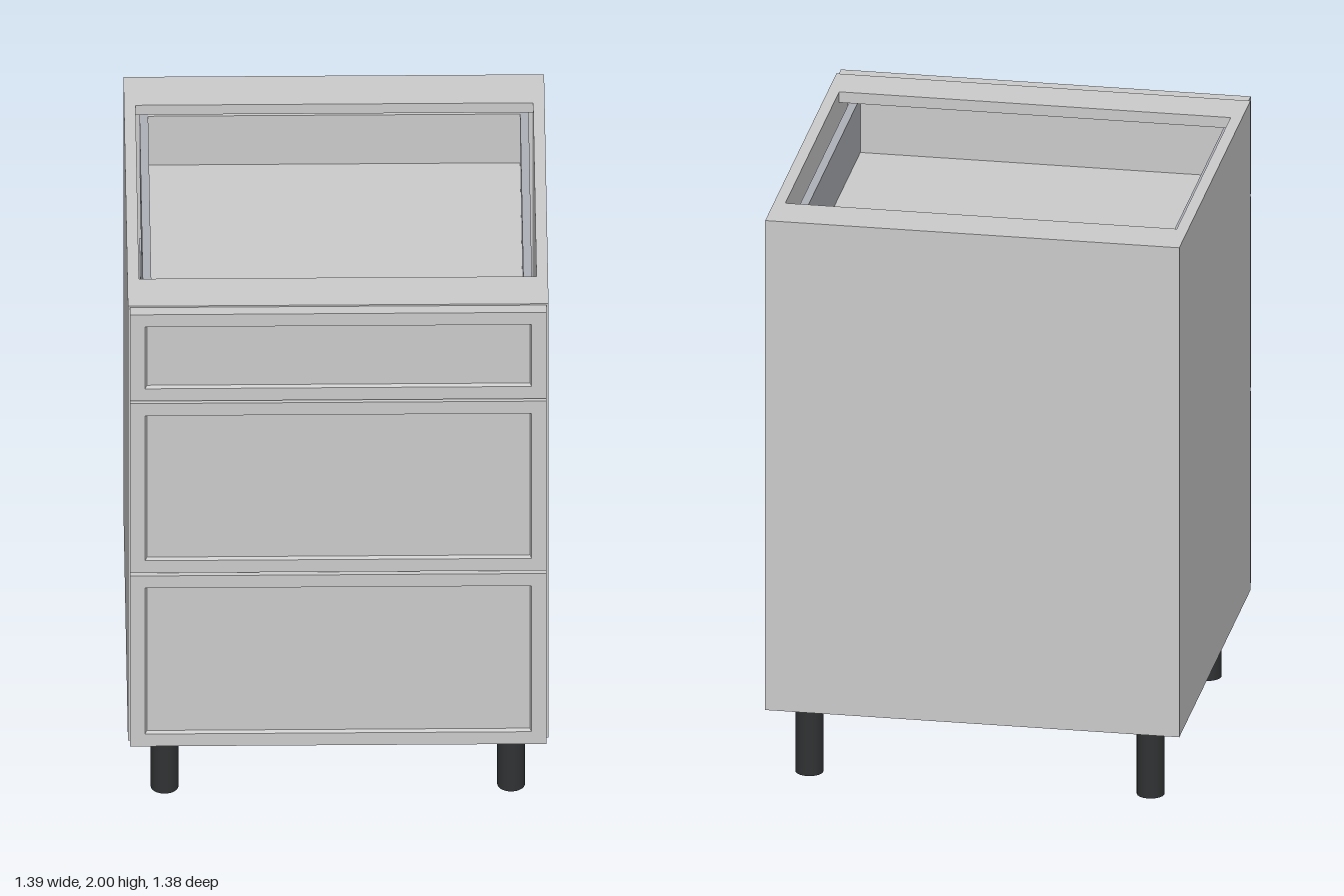
import * as THREE from 'three';

const grey = new THREE.MeshStandardMaterial({ color: 0xcccccc });
const metal = new THREE.MeshStandardMaterial({ color: 0xaeb1b8 });
const black = new THREE.MeshStandardMaterial({ color: 0x303233 });

// Box given by its min and max corners
function box(parent, name, [x0, y0, z0], [x1, y1, z1], material = grey) {
  const mesh = new THREE.Mesh(new THREE.BoxGeometry(x1 - x0, y1 - y0, z1 - z0), material);
  mesh.position.set((x0 + x1) / 2, (y0 + y1) / 2, (z0 + z1) / 2);
  mesh.name = name;
  parent.add(mesh);
}

// Framed drawer front: nested rectangles [width, height, z] joined from back to recessed centre
function frontGeometry(w, h, depth) {
  const frame = 0.098, bevel = 0.012, recess = depth - 0.012;
  const loops = [
    [0, 0, 0], [w, h, 0], [w, h, depth], [w - frame, h - frame, depth],
    [w - frame - bevel, h - frame - bevel, recess], [0, 0, recess],
  ];
  const corners = [[-1, -1], [1, -1], [1, 1], [-1, 1]];
  const positions = [], index = [];
  loops.forEach(([lw, lh, z], i) => {
    for (const [sx, sy] of corners) positions.push(sx * lw / 2, sy * lh / 2, z);
    if (i === 0) return;
    for (let k = 0; k < 4; k++) {
      const n = (k + 1) % 4, a = (i - 1) * 4, b = i * 4;
      index.push(a + k, a + n, b + n, a + k, b + n, b + k);
    }
  });
  const indexed = new THREE.BufferGeometry();
  indexed.setAttribute('position', new THREE.Float32BufferAttribute(positions, 3));
  indexed.setIndex(index);
  const geometry = indexed.toNonIndexed();
  geometry.computeVertexNormals();
  return geometry;
}

export function createModel() {
  const model = new THREE.Group();
  model.name = 'drawerCabinet';
  const W = 0.693, IN = 0.655, BASE = 0.265, TOP = 2, BACK = -0.69, FACE = 0.644;

  // Carcass
  const carcass = new THREE.Group();
  carcass.name = 'carcass';
  model.add(carcass);
  box(carcass, 'rightSide', [-W, BASE, BACK], [-IN, TOP, FACE]);
  box(carcass, 'leftSide', [IN, BASE, BACK], [W, TOP, FACE]);
  box(carcass, 'bottomPanel', [-IN, BASE, BACK], [IN, BASE + 0.038, FACE]);
  box(carcass, 'backPanel', [-IN, BASE + 0.038, BACK], [IN, TOP - 0.038, BACK + 0.038]);
  box(carcass, 'backRail', [-IN, TOP - 0.038, BACK], [IN, TOP, -0.525]);
  box(carcass, 'frontRail', [-IN, TOP - 0.038, 0.485], [IN, TOP, FACE]);

  // Drawers: front bottom, front top, box floor, box rim
  const drawers = [
    [0.272, 0.953, 0.34, 0.72],
    [0.965, 1.642, 1.03, 1.41],
    [1.652, 1.997, 1.70, 1.92],
  ];
  drawers.forEach(([y0, y1, floor, rim], i) => {
    const drawer = new THREE.Group();
    drawer.name = `drawer${i + 1}`;
    model.add(drawer);
    const front = new THREE.Mesh(frontGeometry(1.372, y1 - y0, 0.042), grey);
    front.name = 'drawerFront';
    front.position.set(0, (y0 + y1) / 2, 0.648);
    drawer.add(front);
    box(drawer, 'drawerFloor', [-0.613, floor, -0.61], [0.613, floor + 0.025, 0.646]);
    box(drawer, 'drawerBack', [-0.613, floor + 0.025, -0.61], [0.613, rim, -0.577]);
    box(drawer, 'drawerRightSide', [-0.641, floor, -0.61], [-0.613, rim, 0.646], metal);
    box(drawer, 'drawerLeftSide', [0.613, floor, -0.61], [0.641, rim, 0.646], metal);
  });

  // Legs
  const legGeometry = new THREE.CylinderGeometry(0.046, 0.046, BASE, 32);
  for (const x of [-0.571, 0.571]) {
    for (const z of [-0.543, 0.524]) {
      const leg = new THREE.Mesh(legGeometry, black);
      leg.name = 'leg';
      leg.position.set(x, BASE / 2, z);
      model.add(leg);
    }
  }
  return model;
}
